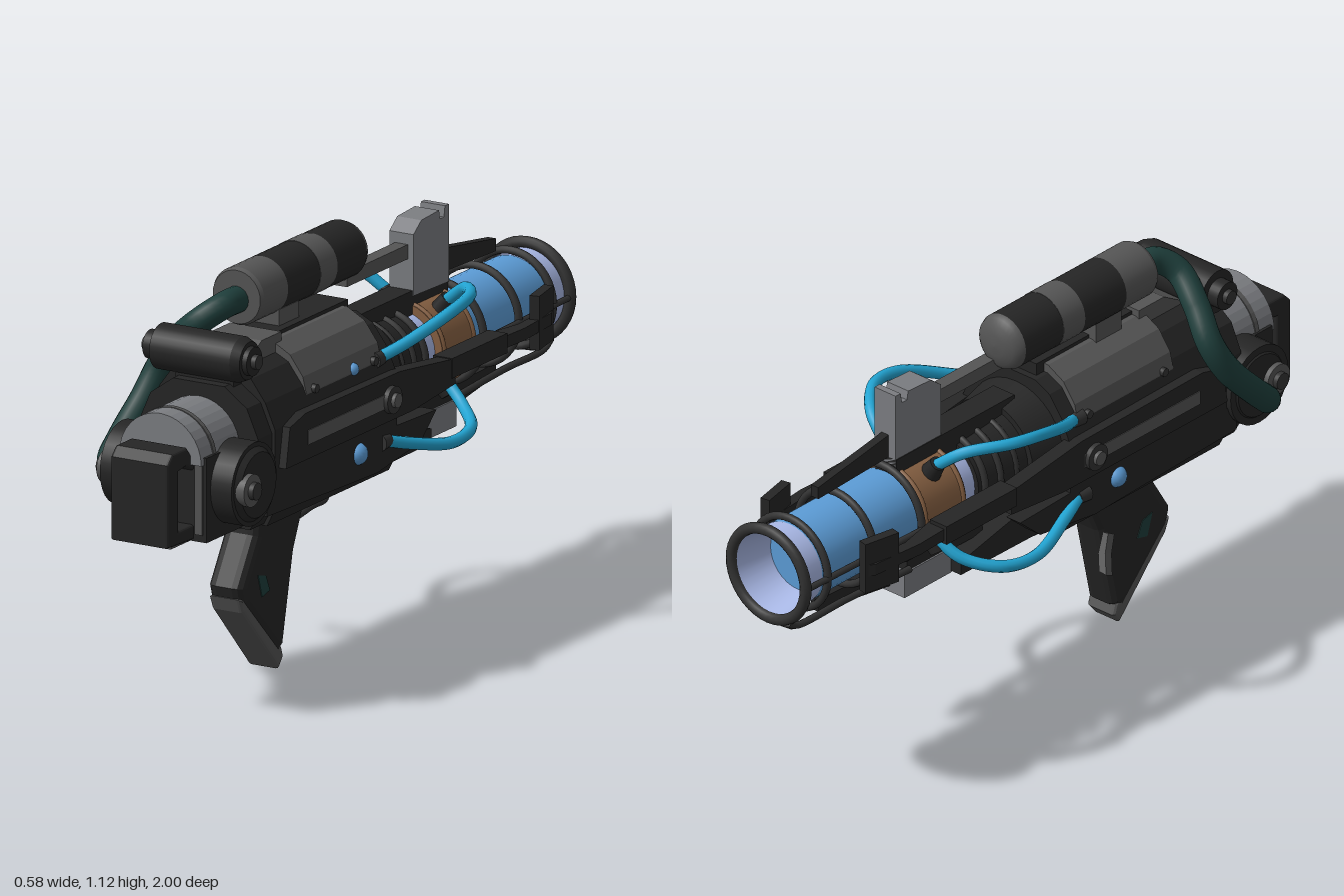
import * as THREE from 'three';

const mat = (name, color) => Object.assign(new THREE.MeshStandardMaterial({ color }), { name });
const M = {
  black: mat('black metal', 0x252525),
  frame: mat('dark frame', 0x323232),
  grey: mat('mid grey', 0x555555),
  light: mat('light grey', 0x7b7d81),
  teal: mat('dark teal rubber', 0x1e3e3b),
  cyan: mat('cyan hose', 0x22a4d2),
  blue: mat('blue glass', 0x5b9bd5),
  pale: mat('pale blue glass', 0xa9b8e6),
  copper: mat('copper', 0x866042),
};
M.pale.side = M.blue.side = THREE.DoubleSide;
const AXIS = 0.705; // barrel height
const v = (p) => new THREE.Vector3(...p);
const v2 = (p) => new THREE.Vector2(...p);

export function createModel() {
  const root = new THREE.Group();
  root.name = 'energyBlaster';
  const gun = new THREE.Group();
  gun.name = 'gun';
  gun.position.x = 0.02;
  root.add(gun);

  const add = (name, geo, m) => {
    const mesh = new THREE.Mesh(geo, m);
    mesh.name = name;
    gun.add(mesh);
    return mesh;
  };
  // box given by its limits
  const box = (name, m, x0, x1, y0, y1, z0, z1) => add(name,
    new THREE.BoxGeometry(x1 - x0, y1 - y0, z1 - z0).translate((x0 + x1) / 2, (y0 + y1) / 2, (z0 + z1) / 2), m);
  // cylinder along z, from z0 (radius r0) to z1 (radius r1)
  const cylZ = (name, m, r0, r1, z0, z1, x = 0, y = AXIS, open = false) => add(name,
    new THREE.CylinderGeometry(r1, r0, z1 - z0, 32, 1, open).rotateX(Math.PI / 2).translate(x, y, (z0 + z1) / 2), m);
  // cylinder along x
  const cylX = (name, m, r, x0, x1, y, z, r1 = r) => add(name,
    new THREE.CylinderGeometry(r, r1, x1 - x0, 28).rotateZ(-Math.PI / 2).translate((x0 + x1) / 2, y, z), m);
  // side outline in (z, y), extruded along x about xc
  const side = (name, m, pts, width, xc = 0, bevel = 0, hole = null) => {
    const s = new THREE.Shape(pts.map(v2));
    if (hole) s.holes.push(new THREE.Path(hole.map(v2)));
    const d = width - 2 * bevel;
    const g = new THREE.ExtrudeGeometry(s, { depth: d, bevelEnabled: bevel > 0, bevelSize: bevel, bevelOffset: -bevel, bevelThickness: bevel, bevelSegments: 3 });
    return add(name, g.translate(0, 0, -d / 2).rotateY(-Math.PI / 2).translate(xc, 0, 0), m);
  };
  // mirrored half section (x, y), bottom to top, extruded along z
  const section = (name, m, half, z0, z1) => {
    const pts = [...half, ...half.map(([x, y]) => [-x, y]).reverse()].map(v2);
    return add(name, new THREE.ExtrudeGeometry(new THREE.Shape(pts), { depth: z1 - z0, bevelEnabled: false }).translate(0, 0, z0), m);
  };
  const tube = (name, m, pts, r, sides = 12) => add(name,
    new THREE.TubeGeometry(new THREE.CatmullRomCurve3(pts.map(v)), 48, r, sides), m);
  const ring = (name, m, R, r, z) => add(name, new THREE.TorusGeometry(R, r, 10, 40).translate(0, AXIS, z), m);

  // Receiver
  section('receiver', M.black, [[0.17, 0.48], [0.195, 0.53], [0.195, 0.75], [0.165, 0.82], [0.12, 0.88], [0.07, 0.905]], 0.0, 0.62);
  section('receiverRear', M.black, [[0.16, 0.485], [0.185, 0.53], [0.185, 0.74], [0.15, 0.82], [0.08, 0.87]], 0.62, 0.69);
  section('topPanel', M.grey, [[0.172, 0.775], [0.176, 0.8], [0.165, 0.845], [0.125, 0.9], [0.07, 0.93]], 0.05, 0.43);
  box('spine', M.black, -0.055, 0.055, 0.9, 0.94, 0.02, 0.46);
  box('tankMount', M.grey, -0.08, 0.03, 0.92, 0.985, 0.23, 0.33);
  side('spineRamp', M.grey, [[0.62, 0.88], [0.5, 0.95], [0.4, 0.95], [0.4, 0.86], [0.62, 0.86]], 0.16);
  side('underBody', M.black, [[0.74, 0.5], [0.7, 0.48], [0.1, 0.455], [-0.33, 0.46], [-0.33, 0.5], [-0.05, 0.56], [0.74, 0.56]], 0.2);
  box('underStrip', M.grey, -0.12, 0.12, 0.495, 0.515, 0.42, 0.75);
  add('upperLamp', new THREE.SphereGeometry(0.018, 16, 12).translate(0.17, 0.805, 0.185), M.blue);
  for (const s of [-1, 1]) {
    const x = s * 0.2;
    side('sideRail', M.black, [[0.6, 0.64], [0.58, 0.75], [0.5, 0.77], [0.02, 0.765], [-0.26, 0.73], [-0.26, 0.66], [-0.05, 0.64]], 0.045, s * 0.195);
    box('sideBar', M.grey, x - 0.02, x + 0.02, 0.68, 0.72, 0.03, 0.49);
    side('lowerSidePlate', M.black, [[0.66, 0.52], [0.66, 0.6], [0.1, 0.61], [-0.2, 0.6], [-0.12, 0.53], [0.1, 0.5]], 0.05, s * 0.17);
    // corner bolts on the top panel
    for (const z of [0.09, 0.39]) cylX('panelBolt', M.frame, 0.012, s * 0.172 - 0.014, s * 0.172 + 0.014, 0.805, z);
    cylX('sideKnob', M.frame, 0.038, s * 0.22 - 0.012, s * 0.22 + 0.012, 0.7, 0.07);
    cylX('sideKnobCap', M.grey, 0.02, s * 0.228 - 0.015, s * 0.228 + 0.015, 0.7, 0.07);
    add('lowerLamp', new THREE.SphereGeometry(0.031, 18, 14).translate(s * 0.186, 0.575, 0.19), M.blue);
  }

  // Rear half drum over a black housing, side discs and stock loop
  const arc = Array.from({ length: 9 }, (_, i) => [0.128 * Math.cos(i * 0.19), 0.705 + 0.128 * Math.sin(i * 0.19)]);
  section('rearDrum', M.light, arc, 0.66, 0.885);
  section('rearDrumBand', M.grey, arc.map(([x, y]) => [x * 1.02, y + 0.002]), 0.81, 0.825);
  box('rearHousing', M.black, -0.135, 0.135, 0.49, 0.725, 0.66, 0.87);
  for (const s of [-1, 1]) {
    box('housingStrip', M.grey, s * 0.112 - 0.012, s * 0.112 + 0.012, 0.51, 0.72, 0.868, 0.874);
    const c = s * 0.16;
    cylX('sideDisc', M.black, 0.115, c - 0.05, c + 0.04, 0.63, 0.735);
    cylX('sideDiscRim', M.black, s > 0 ? 0.09 : 0.115, s * 0.2 - 0.015, s * 0.2 + 0.015, 0.63, 0.735, s > 0 ? 0.115 : 0.09);
    cylX('discHub', M.grey, 0.045, s * 0.215 - 0.015, s * 0.215 + 0.015, 0.63, 0.79);
    cylX('discHubCap', M.frame, 0.024, s * 0.225 - 0.02, s * 0.225 + 0.02, 0.63, 0.79);
  }
  side('stockLoop', M.black, [[1.0, 0.5], [1.0, 0.73], [0.975, 0.755], [0.9, 0.755], [0.88, 0.73], [0.68, 0.68], [0.68, 0.485]], 0.18, 0.005, 0.008,
    [[0.945, 0.535], [0.86, 0.535], [0.86, 0.68], [0.905, 0.705], [0.945, 0.7]]);
  box('stockFoot', M.grey, -0.075, 0.085, 0.49, 0.51, 0.7, 0.97);

  // Roll across the top
  cylX('topRoll', M.black, 0.063, -0.15, 0.1, 0.935, 0.635);
  cylX('topRollEnd', M.black, 0.052, 0.1, 0.125, 0.935, 0.635, 0.063);
  cylX('topRollCap', M.black, 0.04, -0.185, 0.14, 0.935, 0.635);
  cylX('topRollPin', M.frame, 0.02, -0.2, 0.155, 0.935, 0.635);
  box('rollMount', M.black, -0.09, 0.09, 0.83, 0.93, 0.58, 0.66);

  // Gas tank in bands, with a rounded front
  const tx = -0.028, ty = 1.042;
  cylZ('tankRearBand', M.grey, 0.08, 0.08, 0.32, 0.44, tx, ty);
  cylZ('tankRearRim', M.grey, 0.08, 0.074, 0.44, 0.452, tx, ty);
  cylZ('tankBody', M.black, 0.08, 0.08, 0.155, 0.32, tx, ty);
  cylZ('tankMidBand', M.grey, 0.081, 0.081, 0.07, 0.155, tx, ty);
  cylZ('tankFront', M.black, 0.08, 0.08, -0.08, 0.07, tx, ty);
  const dome = [[0, -0.118], [0.03, -0.116], [0.058, -0.108], [0.074, -0.095], [0.08, -0.08]].map(v2);
  add('tankDome', new THREE.LatheGeometry(dome, 32).rotateX(Math.PI / 2).translate(tx, ty, 0), M.grey);
  tube('rubberHose', M.teal, [[tx, 1.035, 0.44], [tx, 1.035, 0.52], [-0.07, 1.0, 0.565], [-0.15, 0.93, 0.55], [-0.215, 0.85, 0.53],
    [-0.245, 0.76, 0.57], [-0.265, 0.67, 0.65], [-0.262, 0.615, 0.71], [-0.2, 0.605, 0.735]], 0.037, 16);

  // Grip, trigger guard and trigger
  side('grip', M.black, [[0.47, 0.5], [0.485, 0.4], [0.565, 0.27], [0.55, 0.22], [0.37, 0.04], [0.335, 0.06], [0.28, 0.31], [0.23, 0.42], [0.23, 0.5]], 0.11, 0, 0.03);
  side('gripFoot', M.grey, [[0.56, 0.24], [0.545, 0.2], [0.36, 0.0], [0.335, 0.03], [0.345, 0.06], [0.53, 0.24]], 0.1, 0, 0.012);
  side('gripInset', M.teal, [[0.48, 0.29], [0.44, 0.28], [0.42, 0.235], [0.46, 0.225]], 0.114);
  tube('triggerGuard', M.frame, [[0, 0.375, 0.25], [0, 0.375, 0.2], [0, 0.385, 0.12], [0, 0.39, 0.05], [0, 0.42, 0.04], [0, 0.47, 0.04]], 0.012, 8);
  side('guardMount', M.black, [[0.26, 0.47], [0.2, 0.44], [0.1, 0.43], [0.02, 0.47]], 0.06);
  const crescent = new THREE.Shape([[-0.028, -0.054], [-0.002, -0.052], [0.018, -0.008], [0.024, 0.05], [0.006, 0.052], [-0.004, 0.0]].map(v2));
  add('trigger', new THREE.ExtrudeGeometry(crescent, { depth: 0.028, bevelEnabled: false }).rotateX(0.45).translate(-0.158, 0.335, 0.175), M.grey);

  // Barrel shroud and copper coil block
  cylZ('shroudRear', M.black, 0.15, 0.175, -0.1, 0.02);
  cylZ('shroud', M.black, 0.118, 0.135, -0.28, -0.08);
  for (const z of [-0.14, -0.2, -0.26]) ring('shroudRib', M.frame, 0.125, 0.01, z);
  cylZ('coilNeck', M.pale, 0.105, 0.105, -0.345, -0.27);
  cylZ('coil', M.copper, 0.128, 0.128, -0.51, -0.34);
  for (const z of [-0.35, -0.5]) ring('coilRim', M.copper, 0.126, 0.008, z);
  box('coilSpine', M.black, -0.04, 0.035, 0.8, 0.87, -0.52, -0.05);
  box('sightRail', M.grey, -0.02, 0.02, 0.955, 0.995, -0.36, -0.03);

  // Glass barrel with a funnel inside the muzzle
  cylZ('glassBarrel', M.blue, 0.116, 0.116, -0.9, -0.5, 0, AXIS, true);
  cylZ('glassLip', M.pale, 0.117, 0.117, -0.98, -0.9, 0, AXIS, true);
  cylZ('muzzleFunnel', M.pale, 0.117, 0.095, -0.98, -0.87, 0, AXIS, true);
  cylZ('glassEnd', M.blue, 0.097, 0.097, -0.87, -0.86);

  // Cage around the barrel
  ring('muzzleRing', M.frame, 0.132, 0.016, -0.983);
  for (const [z, r] of [[-0.895, 0.132], [-0.715, 0.136], [-0.53, 0.14]]) ring('cageRing', M.frame, r, 0.011, z);
  for (const s of [-1, 1]) {
    tube('cageRod', M.frame, [[s * 0.132, AXIS, -0.985], [s * 0.14, AXIS, -0.72], [s * 0.15, AXIS, -0.48]], 0.009, 8);
    tube('lowerStrut', M.frame, [[s * 0.07, 0.54, -0.5], [s * 0.07, 0.555, -0.75], [s * 0.07, 0.56, -0.95], [s * 0.07, 0.58, -0.985]], 0.01, 8);
  }
  tube('strutBridge', M.frame, [[-0.07, 0.56, -0.96], [0, 0.555, -0.96], [0.07, 0.56, -0.96]], 0.01, 8);

  // Brackets and tapering fins
  side('topBracket', M.light, [[-0.34, 0.855], [-0.34, 1.025], [-0.38, 1.055], [-0.47, 1.06], [-0.475, 1.035], [-0.495, 1.035], [-0.5, 1.065], [-0.52, 1.065], [-0.52, 0.85]], 0.075);
  side('bottomBracket', M.light, [[-0.3, 0.47], [-0.33, 0.455], [-0.515, 0.455], [-0.515, 0.53], [-0.36, 0.53]], 0.13);
  box('bottomMount', M.black, -0.06, 0.06, 0.52, 0.59, -0.5, -0.2);
  for (const s of [-1, 1]) {
    side('fin', M.black, [[-0.5, AXIS + s * 0.235], [-0.8, AXIS + s * 0.19], [-0.8, AXIS + s * 0.155], [-0.5, AXIS + s * 0.165]], 0.025);
    box('sideBracket', M.black, s * 0.19 - 0.03, s * 0.19 + 0.03, 0.68, 0.735, -0.52, -0.24);
    // side fin, swept back and wide at its tip
    const fin = new THREE.Shape([[0.15, 0.5], [0.21, 0.5], [0.215, 0.62], [0.2, 0.78], [0.185, 0.805], [0.17, 0.8], [0.18, 0.64]].map(v2));
    const finGeo = new THREE.ExtrudeGeometry(fin, { depth: 0.034, bevelEnabled: false }).rotateX(-Math.PI / 2).translate(0, 0.69, 0);
    add('sideFin', s > 0 ? finGeo : finGeo.rotateZ(Math.PI).translate(0, 1.414, 0), M.black);
    const tip = add('sideFinTip', new THREE.BoxGeometry(0.028, 0.15, 0.11), M.black);
    tip.position.set(s * 0.185, 0.715, -0.75);
    tip.rotation.y = s * 0.2;
    // cyan hoses with their end plugs
    for (const [top, pts] of [
      [1, [[0.165, 0.8, 0.045], [0.205, 0.83, -0.03], [0.253, 0.885, -0.18], [0.243, 0.9, -0.29], [0.165, 0.885, -0.39], [0.09, 0.83, -0.42]]],
      [-1, [[0.185, 0.575, 0.045], [0.21, 0.55, -0.04], [0.248, 0.52, -0.19], [0.235, 0.53, -0.31], [0.16, 0.56, -0.39], [0.09, 0.61, -0.42]]],
    ]) {
      tube('cyanHose', M.cyan, pts.map(([x, y, z]) => [s * x, y, z]), 0.017, 10);
      const plug = add('hosePlug', new THREE.CylinderGeometry(0.022, 0.03, 0.05, 14), M.black);
      plug.position.set(s * 0.085, AXIS + top * 0.115, -0.42);
      plug.rotation.z = top > 0 ? -s * 0.6 : Math.PI + s * 0.6;
      cylZ('hoseSocket', M.frame, 0.02, 0.024, 0.035, 0.075, s * pts[0][0], pts[0][1]);
    }
  }
  return root;
}
